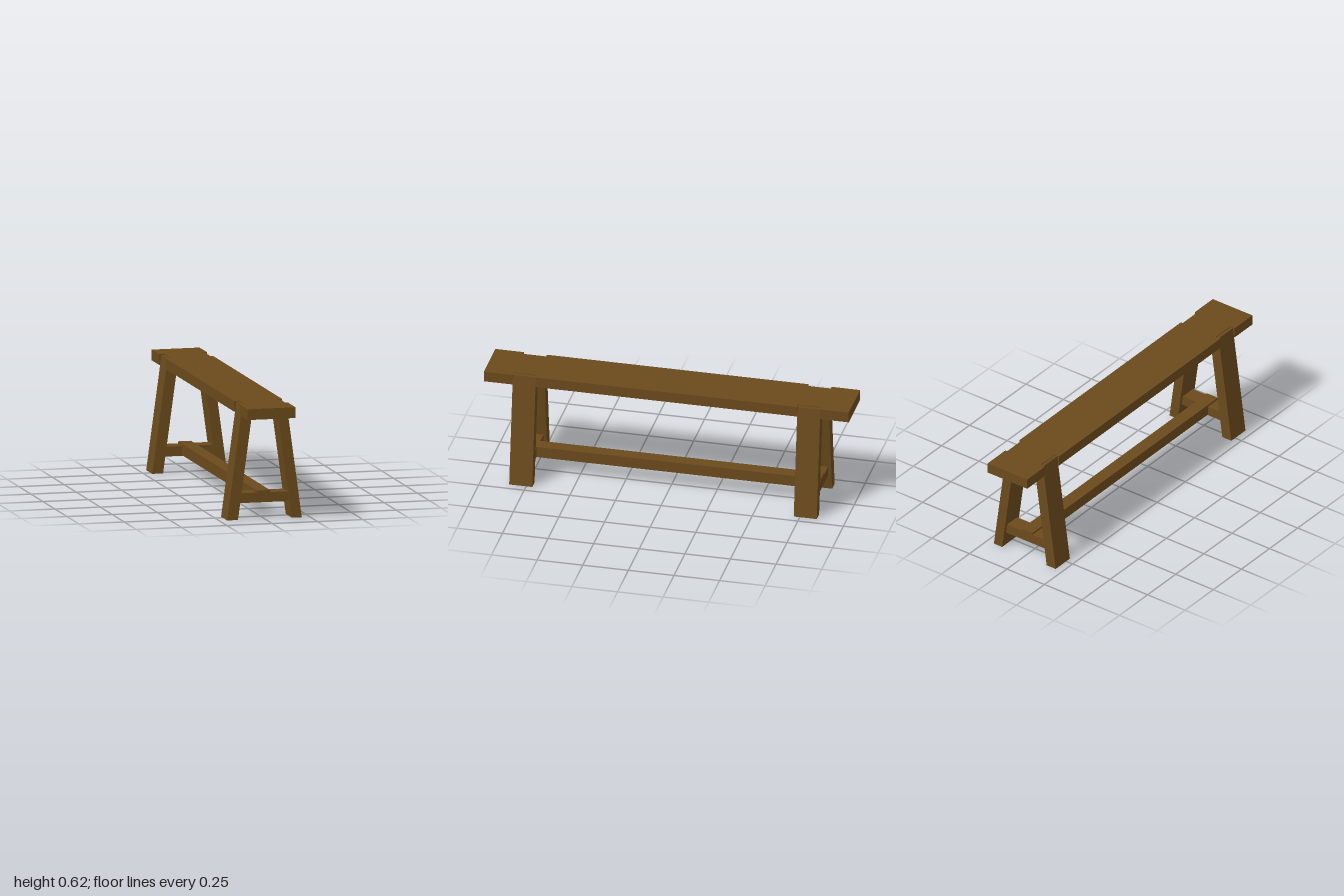
import * as THREE from 'three';

const wood = new THREE.MeshStandardMaterial({ color: 0x6b4a1c });

// Flat outline [a, b] pairs extruded by depth, starting at 0
function slab(points, depth) {
  const shape = new THREE.Shape(points.map(([a, b]) => new THREE.Vector2(a, b)));
  return new THREE.ExtrudeGeometry(shape, { depth, bevelEnabled: false });
}

function addMesh(group, name, geometry) {
  const mesh = new THREE.Mesh(geometry, wood);
  mesh.name = name;
  group.add(mesh);
  return mesh;
}

export function createModel() {
  const model = new THREE.Group();
  model.name = 'bench';

  const seatBottom = 0.565, seatTop = 0.623;
  const legNear = 0.717, legFar = 0.843;

  // Seat plank, with a notch in its edges for each leg
  const edge = (x, inner) => [
    [x, -1], [x, -legFar], [inner, -legFar], [inner, -legNear], [x, -legNear],
    [x, legNear], [inner, legNear], [inner, legFar], [x, legFar], [x, 1],
  ];
  const outline = [...edge(0.129, 0.1), ...edge(-0.135, -0.106).reverse()];
  const seat = slab(outline, seatTop - seatBottom);
  seat.rotateX(Math.PI / 2);
  seat.translate(0, seatTop, 0);
  addMesh(model, 'seat', seat);

  // Splayed legs: outer and inner x at the floor, leaning in to the seat notches
  const legTop = 0.619;
  const lean = 0.136 * legTop;
  const legs = [
    { side: 'left', outer: 0.205, inner: 0.15, dir: 1 },
    { side: 'right', outer: -0.207, inner: -0.147, dir: -1 },
  ];

  for (const [end, sign] of [['front', 1], ['back', -1]]) {
    const frame = new THREE.Group();
    frame.name = `${end}Frame`;
    model.add(frame);

    for (const { side, outer, inner, dir } of legs) {
      const shift = dir * lean;
      const leg = slab(
        [[inner, 0], [outer, 0], [outer - shift, legTop], [inner - shift, legTop]],
        legFar - legNear
      );
      leg.translate(0, 0, sign > 0 ? legNear : -legFar);
      addMesh(frame, `${side}Leg`, leg);
    }

    // Crossbar joining the two legs
    const bar = addMesh(frame, 'crossbar', new THREE.BoxGeometry(0.29, 0.053, 0.09));
    bar.position.set(0, 0.114, sign * 0.78);
  }

  // Long stretcher lapped over both crossbars
  const stretcher = addMesh(model, 'stretcher', new THREE.BoxGeometry(0.072, 0.061, 1.648));
  stretcher.position.set(-0.001, 0.121, 0);

  return model;
}
